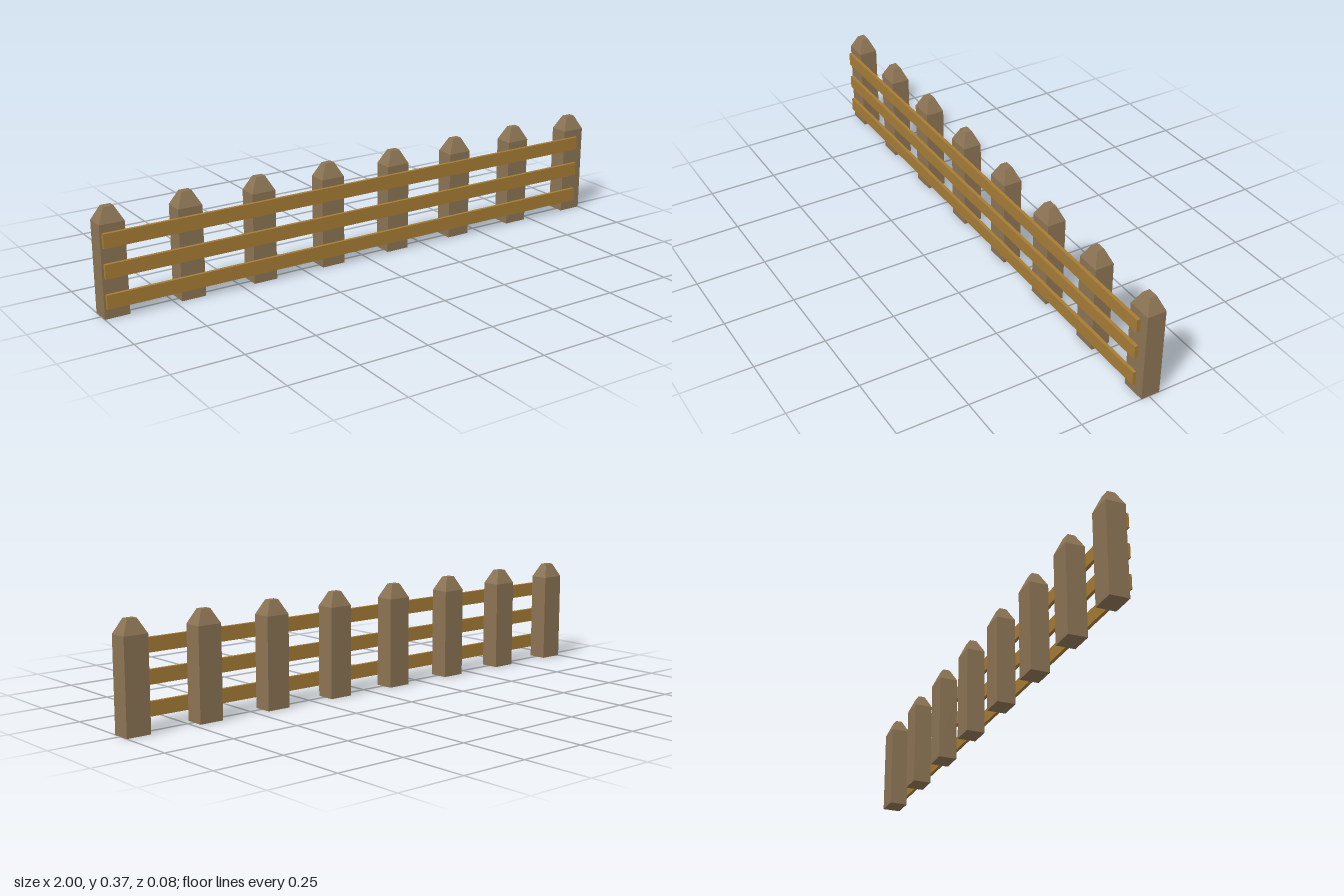
import * as THREE from 'three';

const POST = { count: 8, width: 0.088, depth: 0.068, shoulder: 0.32, top: 0.37, z: -0.005 };
const RAIL = { left: -0.993, right: 0.965, height: 0.049, depth: 0.012, z: 0.035 };

// Square post whose top narrows to a small flat tip
function postGeometry() {
  const geo = new THREE.BoxGeometry(POST.width, 2, POST.depth, 1, 2, 1);
  const p = geo.attributes.position;
  for (let i = 0; i < p.count; i++) {
    const y = p.getY(i);
    if (y > 0.5) p.setXYZ(i, p.getX(i) * 0.4, POST.top, p.getZ(i) * 0.37);
    else p.setY(i, y < -0.5 ? 0 : POST.shoulder);
  }
  geo.computeVertexNormals();
  return geo;
}

export function createModel() {
  const fence = new THREE.Group();
  fence.name = 'fence';
  const postWood = new THREE.MeshStandardMaterial({ color: 0x8c7454, flatShading: true });
  const railWood = new THREE.MeshStandardMaterial({ color: 0xa67c35, flatShading: true });

  // Evenly spaced posts
  const postGeo = postGeometry();
  const reach = 1 - POST.width / 2;
  for (let i = 0; i < POST.count; i++) {
    const post = new THREE.Mesh(postGeo, postWood);
    post.name = `post${i + 1}`;
    post.position.set(-reach + (2 * reach * i) / (POST.count - 1), 0, POST.z);
    fence.add(post);
  }

  // Three rails fixed to the front of the posts
  const railGeo = new THREE.BoxGeometry(RAIL.right - RAIL.left, RAIL.height, RAIL.depth);
  ['lowerRail', 'middleRail', 'upperRail'].forEach((name, i) => {
    const rail = new THREE.Mesh(railGeo, railWood);
    rail.name = name;
    rail.position.set((RAIL.left + RAIL.right) / 2, 0.0615 + i * 0.1035, RAIL.z);
    fence.add(rail);
  });

  return fence;
}
